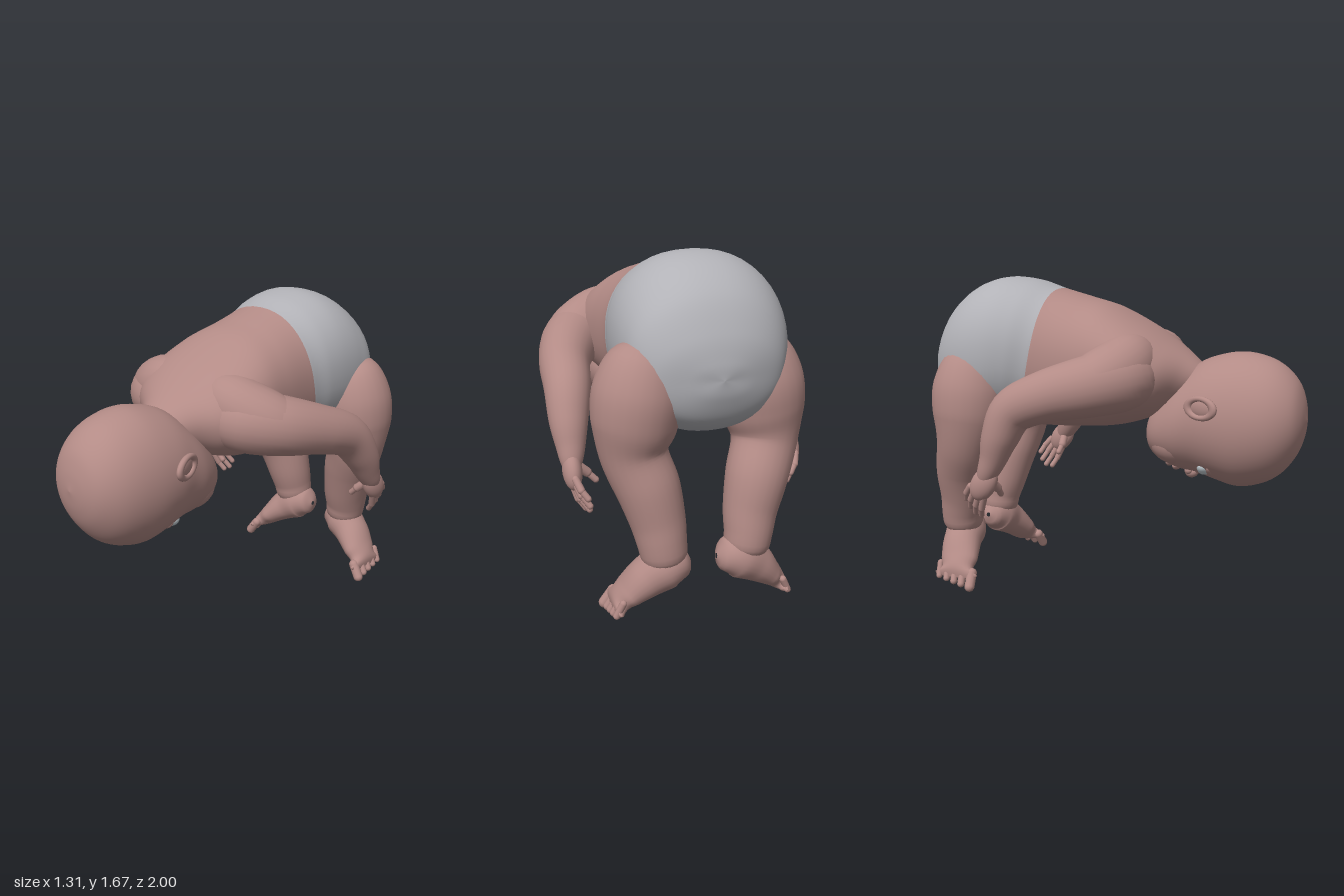
import * as THREE from 'three';
import { mergeVertices } from 'three/addons/utils/BufferGeometryUtils.js';

const V = (x, y, z) => new THREE.Vector3(x, y, z);
const spline = (pts) => new THREE.CatmullRomCurve3(pts, false, 'catmullrom', 0.5);

// Skin over cross-sections [topZ, topY, bottomZ, bottomY, halfWidth, centreX], ordered front to back
// power below 1 makes the sections squarer, bow pushes their flanks forward
function loft(sections, from, to, rings, power = 1, bow = 0) {
  const top = spline(sections.map((s) => V(s[5], s[1], s[0])));
  const bottom = spline(sections.map((s) => V(s[5], s[3], s[2])));
  const width = spline(sections.map((s) => V(s[4], 0, 0)));
  const bend = (v) => Math.sign(v) * Math.abs(v) ** power;
  const last = sections.length - 1, sides = 48, pos = [], idx = [];
  for (let i = 0; i <= rings; i++) {
    const t = (from + (to - from) * i / rings) / last;
    const a = top.getPoint(t), b = bottom.getPoint(t), w = Math.max(0, width.getPoint(t).x);
    const mid = a.clone().add(b).multiplyScalar(0.5), up = a.sub(b).multiplyScalar(0.5);
    for (let j = 0; j < sides; j++) {
      const ang = j / sides * Math.PI * 2, c = bend(Math.cos(ang));
      pos.push(mid.x + w * bend(Math.sin(ang)), mid.y + up.y * c, mid.z + up.z * c + bow * w * (1 - c * c));
      if (i < rings) {
        const p = i * sides + j, q = i * sides + (j + 1) % sides;
        idx.push(p, q, p + sides, q, q + sides, p + sides);
      }
    }
  }
  const g = new THREE.BufferGeometry();
  g.setAttribute('position', new THREE.Float32BufferAttribute(pos, 3));
  g.setIndex(idx);
  g.computeVertexNormals();
  return g;
}

// Limb of varying thickness through [x, y, z, radius, stretchZ]
function limb(points, segments = 48, sides = 24) {
  const path = spline(points.map((p) => V(p[0], p[1], p[2])));
  const size = spline(points.map((p) => V(p[3], p[4] ?? 1, 0)));
  let g = new THREE.TubeGeometry(path, segments, 1, sides, false);
  const pos = g.attributes.position;
  for (let i = 0; i < pos.count; i++) {
    const u = Math.floor(i / (sides + 1)) / segments;
    const c = path.getPointAt(u), s = size.getPoint(path.getUtoTmapping(u));
    const v = V().fromBufferAttribute(pos, i).sub(c).multiplyScalar(Math.max(0.001, s.x));
    v.z *= s.y;
    v.add(c);
    pos.setXYZ(i, v.x, v.y, v.z);
  }
  g.deleteAttribute('uv');
  g.deleteAttribute('normal');
  g = mergeVertices(g, 1e-5);
  g.computeVertexNormals();
  return g;
}

export function createModel() {
  const material = (name, color) => Object.assign(new THREE.MeshStandardMaterial({ color }), { name });
  const skin = material('skin', 0xb38b86);
  const cloth = material('diaperCloth', 0xb2b2b7);
  const eyeWhite = material('eyeWhite', 0xc3cdd2);
  const model = new THREE.Group();
  model.name = 'bendingBaby';

  const add = (name, geometry, mat = skin, parent = model) => {
    const m = new THREE.Mesh(geometry, mat);
    m.name = name;
    parent.add(m);
    return m;
  };
  const ball = (name, p, r, parent, mat = skin) => {
    const m = add(name, new THREE.SphereGeometry(1, 28, 20), mat, parent);
    m.position.set(...p);
    m.scale.set(...r);
    return m;
  };
  // Rounded finger or toe between two points
  const digit = (name, a, b, r, parent) => {
    const d = b.clone().sub(a);
    const m = add(name, new THREE.CapsuleGeometry(r, d.length(), 6, 12), skin, parent);
    m.position.copy(a).addScaledVector(d, 0.5);
    m.quaternion.setFromUnitVectors(V(0, 1, 0), d.normalize());
  };

  // Torso and diaper share one set of sections
  const body = [
    [0.50, 1.20, 0.34, 1.02, 0.12, 0.03],
    [0.42, 1.27, 0.28, 0.99, 0.19, 0.02],
    [0.31, 1.35, 0.21, 0.96, 0.31, 0.01],
    [0.18, 1.435, 0.10, 0.925, 0.385, 0],
    [0.00, 1.53, -0.03, 0.90, 0.38, 0],
    [-0.15, 1.575, -0.22, 0.885, 0.36, 0],
    [-0.31, 1.62, -0.46, 0.88, 0.355, -0.01],
    [-0.45, 1.665, -0.56, 0.88, 0.385, -0.02],
    [-0.60, 1.68, -0.65, 0.875, 0.402, -0.03],
    [-0.75, 1.635, -0.75, 0.88, 0.395, -0.03],
    [-0.88, 1.53, -0.85, 0.915, 0.36, -0.02],
    [-0.96, 1.38, -0.93, 0.98, 0.285, -0.02],
    [-0.99, 1.26, -0.98, 1.09, 0.15, -0.02],
    [-0.995, 1.18, -0.995, 1.18, 0, -0.02],
  ];
  add('torso', loft(body, 0, 6, 48, 0.92, 0.1), skin);
  add('diaper', loft(body, 6, 13, 56, 0.92, 0.1), cloth);

  // Head, hanging with the face turned down
  const hx = 0.04;
  const headSections = [
    [1.0, 0.98, 1.0, 0.98, 0, hx],
    [0.985, 1.08, 0.985, 0.88, 0.10, hx],
    [0.95, 1.17, 0.95, 0.79, 0.175, hx],
    [0.88, 1.245, 0.88, 0.70, 0.235, hx],
    [0.79, 1.29, 0.79, 0.645, 0.27, hx],
    [0.67, 1.31, 0.67, 0.618, 0.286, hx],
    [0.55, 1.29, 0.55, 0.645, 0.282, hx],
    [0.45, 1.25, 0.45, 0.675, 0.264, hx],
    [0.35, 1.17, 0.35, 0.69, 0.245, hx],
    [0.25, 1.06, 0.25, 0.73, 0.195, hx],
    [0.195, 0.98, 0.195, 0.785, 0.125, hx],
    [0.17, 0.885, 0.17, 0.885, 0, hx],
  ];
  const head = new THREE.Group();
  head.name = 'head';
  model.add(head);
  add('skull', loft(headSections, 0, 11, 66), skin, head);
  ball('noseBridge', [hx, 0.685, 0.455], [0.026, 0.025, 0.06], head);
  ball('nose', [hx, 0.668, 0.405], [0.034, 0.032, 0.036], head);
  ball('upperLip', [hx, 0.70, 0.325], [0.06, 0.026, 0.022], head);
  ball('lowerLip', [hx, 0.717, 0.285], [0.05, 0.026, 0.022], head);
  for (const s of [1, -1]) {
    ball('cheek', [hx + s * 0.095, 0.84, 0.35], [0.12, 0.115, 0.14], head);
    ball('nostril', [hx + s * 0.026, 0.68, 0.395], [0.02, 0.022, 0.022], head);
    const eye = ball('eye', [hx + s * 0.143, 0.722, 0.512], [0.05, 0.03, 0.034], head, eyeWhite);
    eye.rotation.z = s * 0.5;
    const lid = ball('eyelid', [hx + s * 0.14, 0.718, 0.546], [0.058, 0.03, 0.02], head);
    lid.rotation.z = s * 0.5;
    // Ear: a curled rim around a shallow bowl
    const ear = new THREE.Group();
    ear.name = s > 0 ? 'leftEar' : 'rightEar';
    ear.position.set(hx + s * 0.285, 1.05, 0.53);
    ear.rotation.y = s * (Math.PI / 2 + 0.4);
    ear.scale.set(1.45, 0.88, 1);
    head.add(ear);
    add('earRim', new THREE.TorusGeometry(0.054, 0.016, 12, 32), skin, ear);
    ball('earBowl', [0, 0, -0.012], [0.054, 0.054, 0.02], ear);
  }

  for (const s of [1, -1]) {
    const side = s > 0 ? 'left' : 'right';
    // The right forearm hangs further forward and lower; the right thigh sits forward, its foot inward
    const dz = s > 0 ? 0 : 0.11, dy = s > 0 ? 0 : -0.04, tz = s > 0 ? 0 : 0.04, fx = s > 0 ? 0.005 : 0.025;

    const arm = new THREE.Group();
    arm.name = side + 'Arm';
    model.add(arm);
    add('shoulder', limb([
      [s * 0.02, 1.30, 0.17, 0.02],
      [s * 0.10, 1.285, 0.165, 0.10],
      [s * 0.21, 1.26, 0.15, 0.148],
      [s * 0.32, 1.215, 0.115, 0.158],
      [s * 0.42, 1.165, 0.04, 0.148],
      [s * 0.48, 1.13, -0.07, 0.11],
      [s * 0.50, 1.11, -0.14, 0.02],
    ]), skin, arm);
    add('armSkin', limb([
      [s * 0.10, 1.17, 0.20, 0.02],
      [s * 0.20, 1.18, 0.18, 0.12],
      [s * 0.31, 1.18, 0.145, 0.157],
      [s * 0.43, 1.155, 0.02, 0.152],
      [s * 0.51, 1.105, -0.18, 0.128],
      [s * 0.54, 1.03, -0.38 + dz * 0.4, 0.113],
      [s * 0.56, 0.90, -0.49 + dz * 0.8, 0.094],
      [s * 0.565, 0.79, -0.55 + dz, 0.07],
      [s * 0.57, 0.72 + dy * 0.5, -0.59 + dz, 0.05],
      [s * 0.57, 0.66 + dy, -0.63 + dz, 0.015],
    ]), skin, arm);
    const palm = ball('palm', [s * 0.572, 0.695 + dy, -0.605 + dz], [0.046, 0.098, 0.066], arm);
    palm.rotation.x = 0.6;
    for (let i = 0; i < 4; i++) {
      const k = i - 1.5, len = [0.9, 1.05, 1, 0.8][i];
      const a = V(s * 0.572, 0.65 + dy + k * 0.018, -0.645 + dz - k * 0.025);
      const knuckle = a.clone().add(V(-s * 0.022, -0.062 + k * 0.006, -0.036 - k * 0.005).multiplyScalar(len));
      const tip = knuckle.clone().add(V(-s * 0.035, -0.047, -0.022).multiplyScalar(len));
      digit('finger', a, knuckle, 0.0175, arm);
      digit('fingerTip', knuckle, tip, 0.015, arm);
    }
    digit('thumb', V(s * 0.55, 0.71 + dy, -0.58 + dz), V(s * 0.495, 0.66 + dy, -0.57 + dz), 0.023, arm);
    digit('thumbTip', V(s * 0.495, 0.66 + dy, -0.57 + dz), V(s * 0.455, 0.62 + dy, -0.575 + dz), 0.016, arm);

    const leg = new THREE.Group();
    leg.name = side + 'Leg';
    model.add(leg);
    add('legSkin', limb([
      [s * 0.25, 1.32, -0.74 + tz, 0.04],
      [s * 0.27, 1.25, -0.75 + tz, 0.15],
      [s * 0.295, 1.11, -0.755 + tz, 0.203],
      [s * 0.315, 0.96, -0.76 + tz, 0.198],
      [s * 0.32, 0.81, -0.765 + tz * 0.5, 0.158],
      [s * 0.265, 0.65, -0.80, 0.148],
      [s * 0.228, 0.50, -0.825, 0.13],
      [s * 0.212, 0.39, -0.848, 0.115],
      [s * 0.20, 0.31, -0.852, 0.10],
      [s * 0.19, 0.24, -0.855, 0.02],
    ]), skin, leg);
    const foot = new THREE.Group();
    foot.name = side + 'Foot';
    foot.position.x = fx;
    leg.add(foot);
    add('footSkin', limb([
      [s * 0.075, 0.29, -0.86, 0.012],
      [s * 0.10, 0.287, -0.86, 0.068],
      [s * 0.18, 0.278, -0.855, 0.107],
      [s * 0.27, 0.225, -0.838, 0.096, 1.1],
      [s * 0.35, 0.153, -0.81, 0.067, 1.6],
      [s * 0.405, 0.098, -0.795, 0.045, 2.35],
      [s * 0.432, 0.068, -0.79, 0.008, 8],
    ], 36), skin, foot);
    for (let i = 0; i < 5; i++) {
      const z = -0.70 - i * 0.047 + (i ? -0.008 : 0), r = i ? 0.021 - i * 0.001 : 0.027;
      const drop = i * 0.009;
      digit('toe', V(s * 0.405, 0.097 + drop, z), V(s * (0.447 - i * 0.003), 0.034 + drop, z + 0.008), r, foot);
    }
  }
  return model;
}
